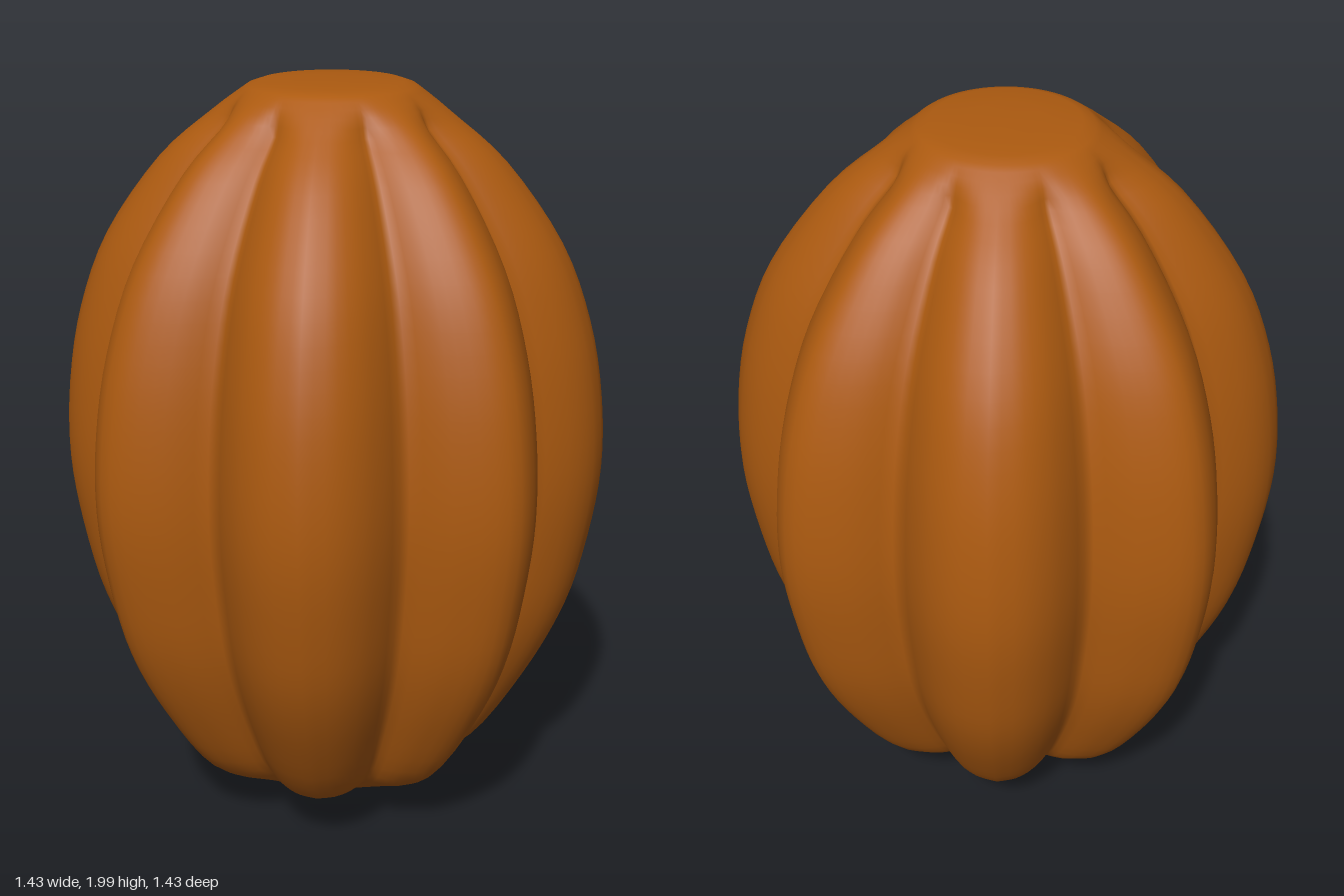
import * as THREE from 'three';
import { mergeVertices } from 'three/addons/utils/BufferGeometryUtils.js';

// Rib tip profile from bottom to top: radius, height
const tip = [[0.0001, 0.01], [0.1, 0.03], [0.25, 0.1], [0.41, 0.2], [0.545, 0.4], [0.64, 0.6], [0.69, 0.8],
  [0.715, 1.0], [0.705, 1.2], [0.665, 1.4], [0.585, 1.6], [0.44, 1.8], [0.3, 1.92], [0.21, 1.985]];

// Radius factor by angle (degrees) away from a rib's centre
const narrowRib = [[0, 1], [4, 0.985], [8.6, 0.94], [13, 0.895], [16.6, 0.845], [21, 0.785]];
const wideRib = [[0, 1], [7, 0.975], [12, 0.935], [15.5, 0.895], [19.5, 0.845], [24, 0.785]];

function lookUp(table, a) {
  for (let i = 1; i < table.length; i++) {
    const [a0, v0] = table[i - 1], [a1, v1] = table[i];
    if (a <= a1) return v0 + (v1 - v0) * (a - a0) / (a1 - a0);
  }
  return table[table.length - 1][1];
}

// Four narrow ribs on the axes, four wide ribs on the diagonals
function ribFactor(angle) {
  const deg = THREE.MathUtils.radToDeg(angle) + 360;
  const fromAxis = Math.abs(((deg + 45) % 90) - 45);
  return fromAxis <= 21 ? lookUp(narrowRib, fromAxis) : lookUp(wideRib, 45 - fromAxis);
}

export function createModel() {
  const group = new THREE.Group();
  group.name = 'ribbedPod';
  const skin = new THREE.MeshStandardMaterial({ color: 0xac5a10 });
  skin.name = 'burntOrange';

  // Smooth side curve, closed by a nearly flat top
  const curve = new THREE.SplineCurve(tip.map(([r, y]) => new THREE.Vector2(r, y)));
  const profile = curve.getPoints(52);
  profile.push(new THREE.Vector2(0.18, 1.995), new THREE.Vector2(0.09, 1.999), new THREE.Vector2(0.0001, 2));
  const geometry = new THREE.LatheGeometry(profile, 144);

  // Press the grooves in, fading out at both ends
  const p = geometry.attributes.position;
  for (let i = 0; i < p.count; i++) {
    const x = p.getX(i), y = p.getY(i), z = p.getZ(i);
    const depth = THREE.MathUtils.smoothstep(y, 0.01, 0.12) * (1 - THREE.MathUtils.smoothstep(y, 1.88, 1.985));
    const f = 1 + (ribFactor(Math.atan2(x, z)) - 1) * depth;
    p.setXYZ(i, x * f, y, z * f);
  }

  // Weld the seam for continuous smooth normals
  geometry.deleteAttribute('uv');
  geometry.deleteAttribute('normal');
  const welded = mergeVertices(geometry, 1e-5);
  welded.computeVertexNormals();

  const body = new THREE.Mesh(welded, skin);
  body.name = 'ribbedBody';
  group.add(body);
  return group;
}
